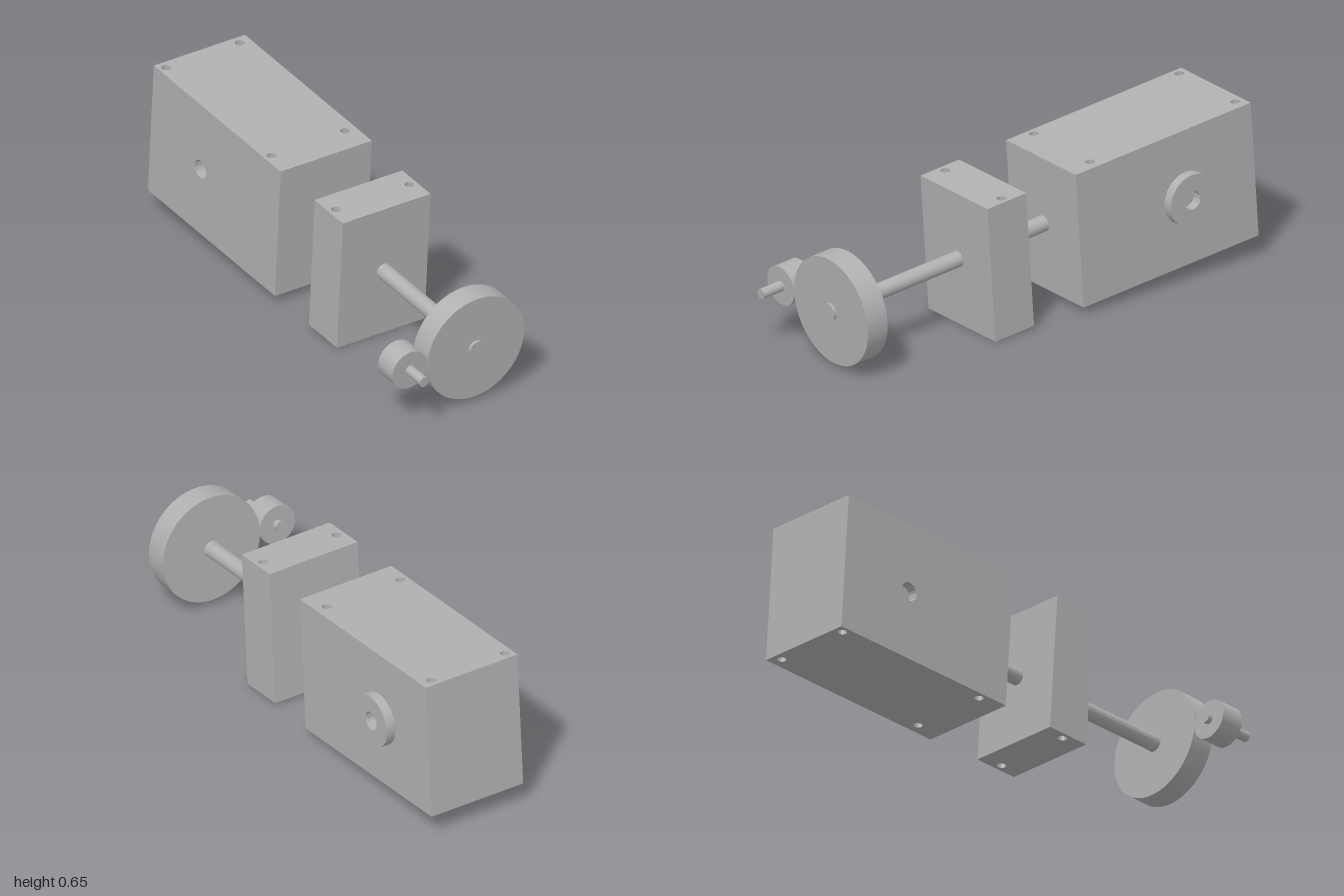
import * as THREE from 'three';
import { toCreasedNormals } from 'three/addons/utils/BufferGeometryUtils.js';

const steel = new THREE.MeshStandardMaterial({ color: 0xb0b0b0 });
steel.name = 'steel grey';

const H = 0.559;          // block height
const SCREW_R = 0.018;    // vertical screw hole radius
const SCREW_X = 0.167;    // screw hole offset from the shaft axis
const BORE_R = 0.037;     // cross bore radius
const BORE_Z = -1.552;    // cross bore position along the shaft

function part(name, geometry) {
  const mesh = new THREE.Mesh(geometry, steel);
  mesh.name = name;
  return mesh;
}

// cylinder along z from z0 to z1
function rod(name, r, z0, z1, x = 0) {
  const g = new THREE.CylinderGeometry(r, r, z1 - z0, 64);
  g.rotateX(Math.PI / 2);
  g.translate(x, 0, (z0 + z1) / 2);
  return part(name, g);
}

function rectangle(x0, x1, y0, y1) {
  return new THREE.Shape([
    new THREE.Vector2(x0, y0), new THREE.Vector2(x1, y0),
    new THREE.Vector2(x1, y1), new THREE.Vector2(x0, y1)]);
}

function addHole(shape, x, y, r) {
  shape.holes.push(new THREE.Path().absarc(x, y, r, 0, Math.PI * 2, true));
}

function extrude(shape, depth) {
  const g = new THREE.ExtrudeGeometry(shape, { depth, bevelEnabled: false, curveSegments: 32 });
  return toCreasedNormals(g, 0.6);
}

// upright block with a pair of vertical screw holes
function drilledBlock(name, x0, x1, z0, z1, holeZ) {
  const shape = rectangle(x0, x1, -z1, -z0);
  for (const s of [-1, 1]) addHole(shape, s * SCREW_X, -holeZ, SCREW_R);
  const g = extrude(shape, H);
  g.rotateX(-Math.PI / 2);
  g.translate(0, -H / 2, 0);
  return part(name, g);
}

// profile extruded sideways, from x0 to x1
function sideways(name, shape, x0, x1) {
  const g = extrude(shape, x1 - x0);
  g.rotateY(Math.PI / 2);
  g.translate(x0, 0, 0);
  return part(name, g);
}

export function createModel() {
  const model = new THREE.Group();
  model.name = 'gearDrive';

  // the whole drive line is tilted; its origin is the front centre of the big wheel
  const drive = new THREE.Group();
  drive.name = 'driveAssembly';
  drive.position.set(0.0615, 0.2385, 0.903);
  drive.rotation.x = 0.069;
  model.add(drive);

  // large wheel, its hub pin and the main shaft
  drive.add(rod('largeWheel', 0.2195, -0.096, 0));
  drive.add(rod('hubPin', 0.033, -0.125, 0.011));
  drive.add(rod('mainShaft', 0.0318, -1.1, -0.09));

  // pinion on its own small shaft
  drive.add(rod('pinion', 0.0795, -0.096, 0, -0.3));
  drive.add(rod('pinionShaft', 0.0205, -0.116, 0.097, -0.3));

  // bearing block
  drive.add(drilledBlock('bearingBlock', -0.1995, 0.1995, -0.805, -0.617, -0.711));

  // gearbox housing: drilled ends around a cross-bored middle
  const housing = new THREE.Group();
  housing.name = 'gearboxHousing';
  const x0 = -0.1995, x1 = 0.2155;
  housing.add(drilledBlock('housingFront', x0, x1, -1.2, -1.033, -1.142));
  housing.add(drilledBlock('housingBack', x0, x1, -1.884, -1.8, -1.848));
  const middle = rectangle(1.2, 1.8, -H / 2, H / 2);
  addHole(middle, -BORE_Z, 0, BORE_R);
  housing.add(sideways('housingMiddle', middle, x0, x1));

  // floor of the cross bore
  const floor = new THREE.Shape().absarc(-BORE_Z, 0, BORE_R, 0, Math.PI * 2);
  housing.add(sideways('boreFloor', floor, x0 + 0.04, x1));

  // raised ring on the left side
  const ring = new THREE.Shape().absarc(-BORE_Z, 0, 0.106, 0, Math.PI * 2);
  addHole(ring, -BORE_Z, 0, BORE_R);
  housing.add(sideways('sideBoss', ring, x1, x1 + 0.039));
  drive.add(housing);

  return model;
}
